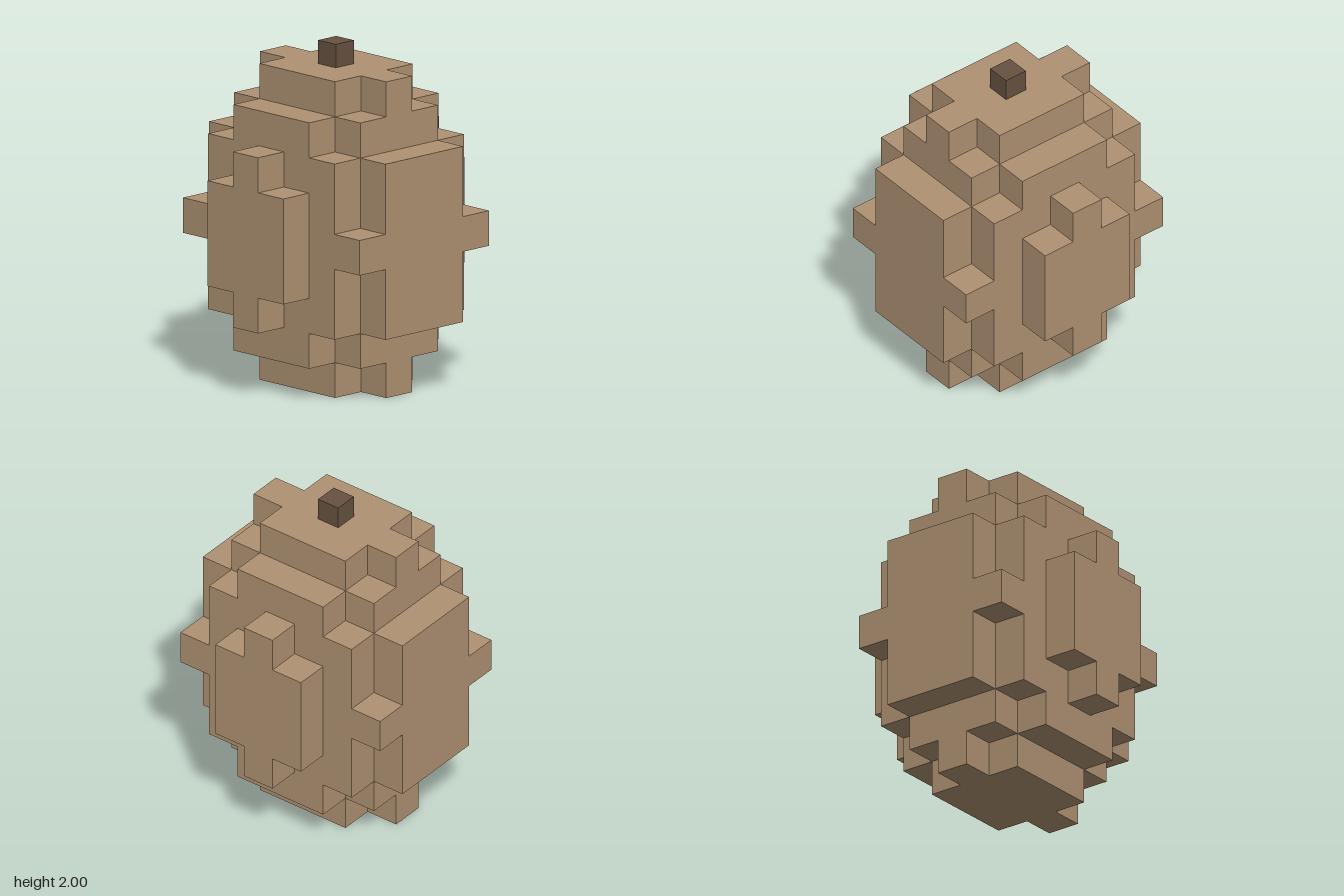
import * as THREE from 'three';
import { mergeGeometries } from 'three/addons/utils/BufferGeometryUtils.js';

const CELL = 2 / 9.667; // edge of one body block
const LAYERS = 9;

// Half-width in blocks of each row, listed outward from the middle row (|z| = 0, 1, 2, 3);
// -1 means an empty row. Layers run from the middle of the body to its ends.
const ROWS = [
  [3, 3, 3, 1],
  [3, 3, 2, 1],
  [3, 3, 2, 0],
  [2, 2, 1, -1],
  [2, 1, -1, -1],
];

function filled(x, y, z) {
  const rows = ROWS[Math.abs(y - 4)];
  const half = rows && rows[Math.abs(z)];
  return half !== undefined && Math.abs(x) <= half;
}

// The six sides of a block: outward direction and the turn that faces a plane that way
const SIDES = [
  { d: [1, 0, 0], turn: (g) => g.rotateY(Math.PI / 2) },
  { d: [-1, 0, 0], turn: (g) => g.rotateY(-Math.PI / 2) },
  { d: [0, 1, 0], turn: (g) => g.rotateX(-Math.PI / 2) },
  { d: [0, -1, 0], turn: (g) => g.rotateX(Math.PI / 2) },
  { d: [0, 0, 1], turn: (g) => g },
  { d: [0, 0, -1], turn: (g) => g.rotateY(Math.PI) },
];

// Only the exposed faces of the blocks, joined into one shell
function blockShell() {
  const faces = [];
  for (let y = 0; y < LAYERS; y++) {
    for (let z = -3; z <= 3; z++) {
      for (let x = -3; x <= 3; x++) {
        if (!filled(x, y, z)) continue;
        for (const { d, turn } of SIDES) {
          if (filled(x + d[0], y + d[1], z + d[2])) continue;
          const face = turn(new THREE.PlaneGeometry(CELL, CELL));
          face.translate(
            (x + d[0] / 2) * CELL,
            (y + 0.5 + d[1] / 2) * CELL,
            (z + d[2] / 2) * CELL
          );
          faces.push(face);
        }
      }
    }
  }
  return mergeGeometries(faces);
}

export function createModel() {
  const group = new THREE.Group();
  group.name = 'blockFruit';

  const tan = new THREE.MeshStandardMaterial({ color: 0xae9172 });
  tan.name = 'tan skin';
  const brown = new THREE.MeshStandardMaterial({ color: 0x665240 });
  brown.name = 'dark brown stem';

  // Rounded body of stepped blocks
  const body = new THREE.Mesh(blockShell(), tan);
  body.name = 'body';
  group.add(body);

  // Short square stem on top
  const bodyTop = LAYERS * CELL;
  const stemHeight = 2 - bodyTop;
  const stem = new THREE.Mesh(new THREE.BoxGeometry(0.145, stemHeight, 0.145), brown);
  stem.name = 'stem';
  stem.position.y = bodyTop + stemHeight / 2;
  group.add(stem);

  return group;
}
